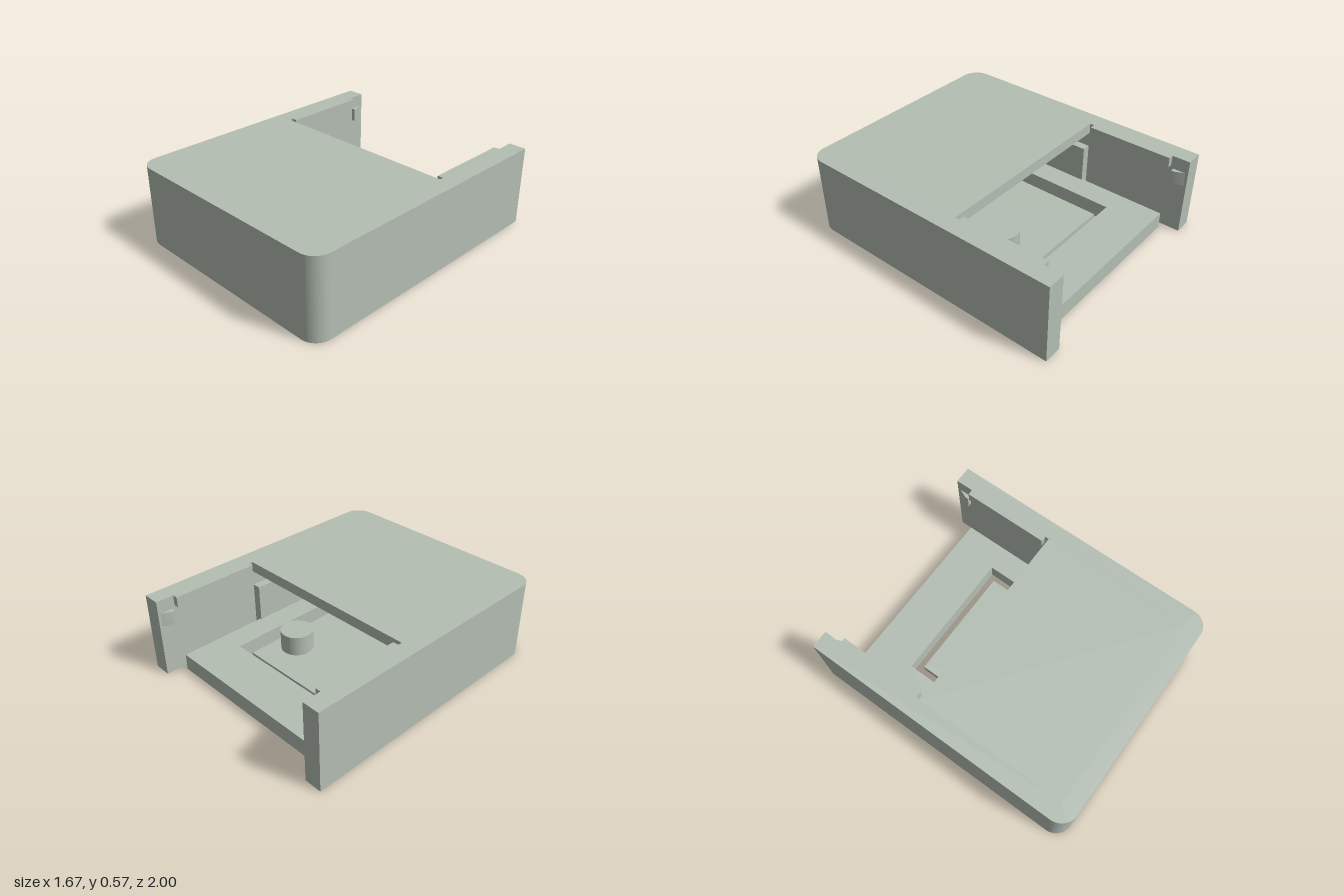
import * as THREE from 'three';
import { toCreasedNormals } from 'three/addons/utils/BufferGeometryUtils.js';

const W = 0.835, IN = 0.71, H = 0.575;      // outer half width, inner half width, height
const FLOOR = 0.12, ROOF = 0.5;             // top of floor, underside of roof
const LEDGE = -0.21, FRONT = 0.88;          // back edge of roof, inside of front wall

export function createModel() {
  const model = new THREE.Group();
  model.name = 'slidingHousing';
  const plastic = new THREE.MeshStandardMaterial({ color: 0xb4beb3 });
  plastic.name = 'sage grey plastic';

  const add = (name, geometry) => {
    const mesh = new THREE.Mesh(geometry, plastic);
    mesh.name = name;
    model.add(mesh);
    return mesh;
  };
  // Extrudes a plan outline drawn in (x, z) between two heights
  const slab = (name, shape, y0, y1) => {
    const g = new THREE.ExtrudeGeometry(shape, { depth: y1 - y0, bevelEnabled: false, curveSegments: 14 });
    g.rotateX(Math.PI / 2).translate(0, y1, 0);
    return add(name, toCreasedNormals(g, 0.5));
  };
  const outline = (pts) => new THREE.Shape(pts.map(([x, z]) => new THREE.Vector2(x, z)));

  // U-shaped wall with rounded front corners
  const r = 0.12;
  const wall = new THREE.Shape();
  wall.moveTo(-W, -1);
  wall.lineTo(-IN, -1);
  wall.lineTo(-IN, FRONT);
  wall.lineTo(IN, FRONT);
  wall.lineTo(IN, -1);
  wall.lineTo(W, -1);
  wall.lineTo(W, 1 - r);
  wall.absarc(W - r, 1 - r, r, 0, Math.PI / 2, false);
  wall.lineTo(-W + r, 1);
  wall.absarc(-W + r, 1 - r, r, Math.PI / 2, Math.PI, false);
  wall.lineTo(-W, -1);
  slab('outerWall', wall, 0, H);

  // Roof over the front part
  slab('roof', outline([[-IN, LEDGE], [IN, LEDGE], [IN, FRONT], [-IN, FRONT]]), ROOF, H);

  // Floor, narrower behind the roof, with an opening for the spring tongue
  const floor = outline([
    [-0.66, -0.87], [0.66, -0.87], [0.66, LEDGE], [IN, LEDGE],
    [IN, FRONT], [-IN, FRONT], [-IN, LEDGE], [-0.66, LEDGE],
  ]);
  const hx = 0.45, hz = 0.81, hr = 0.05;    // round relief holes at the tongue root
  const a = Math.atan2(-0.04, 0.03);
  const opening = new THREE.Path();
  opening.moveTo(-0.48, -0.54);
  opening.lineTo(0.48, -0.54);
  opening.lineTo(0.48, hz - 0.04);
  opening.absarc(hx, hz, hr, a, Math.PI, false);
  opening.lineTo(-hx + hr, hz);
  opening.absarc(-hx, hz, hr, 0, Math.PI - a, false);
  opening.lineTo(-0.48, -0.54);
  floor.holes.push(opening);
  slab('floor', floor, 0, FLOOR);

  // Thin spring tongue with its round button
  const tongue = new THREE.Shape();
  tongue.moveTo(-0.42, -0.48);
  tongue.lineTo(0.42, -0.48);
  tongue.lineTo(0.42, hz - 0.04);
  tongue.absarc(hx, hz, hr, Math.PI - a - 2 * Math.PI + 2 * (Math.PI + a) - 2 * a - 2 * Math.PI, Math.PI, true);
  tongue.lineTo(-hx + hr, hz);
  tongue.absarc(-hx, hz, hr, 0, a, true);
  tongue.lineTo(-0.42, -0.48);
  slab('springTongue', tongue, 0, 0.065);
  add('button', new THREE.CylinderGeometry(0.115, 0.115, 0.145, 40)).position.set(0.26, 0.1375, -0.2);

  // Mirrored details on the inside of both walls
  for (const [side, s] of [['left', 1], ['right', -1]]) {
    const box = (name, x0, x1, y0, y1, z0, z1) =>
      add(side + name, new THREE.BoxGeometry(x1 - x0, y1 - y0, z1 - z0))
        .position.set(s * (x0 + x1) / 2, (y0 + y1) / 2, (z0 + z1) / 2);
    box('TopLip', 0.67, IN, ROOF, H, -0.87, -0.24);
    box('InnerRib', 0.65, IN, FLOOR, 0.39, LEDGE, FRONT);
    slab(side + 'CatchHook', outline([
      [s * IN, -0.98], [s * 0.68, -0.91], [s * 0.68, -0.89], [s * IN, -0.89],
    ]), 0.38, 0.48);
  }
  return model;
}
